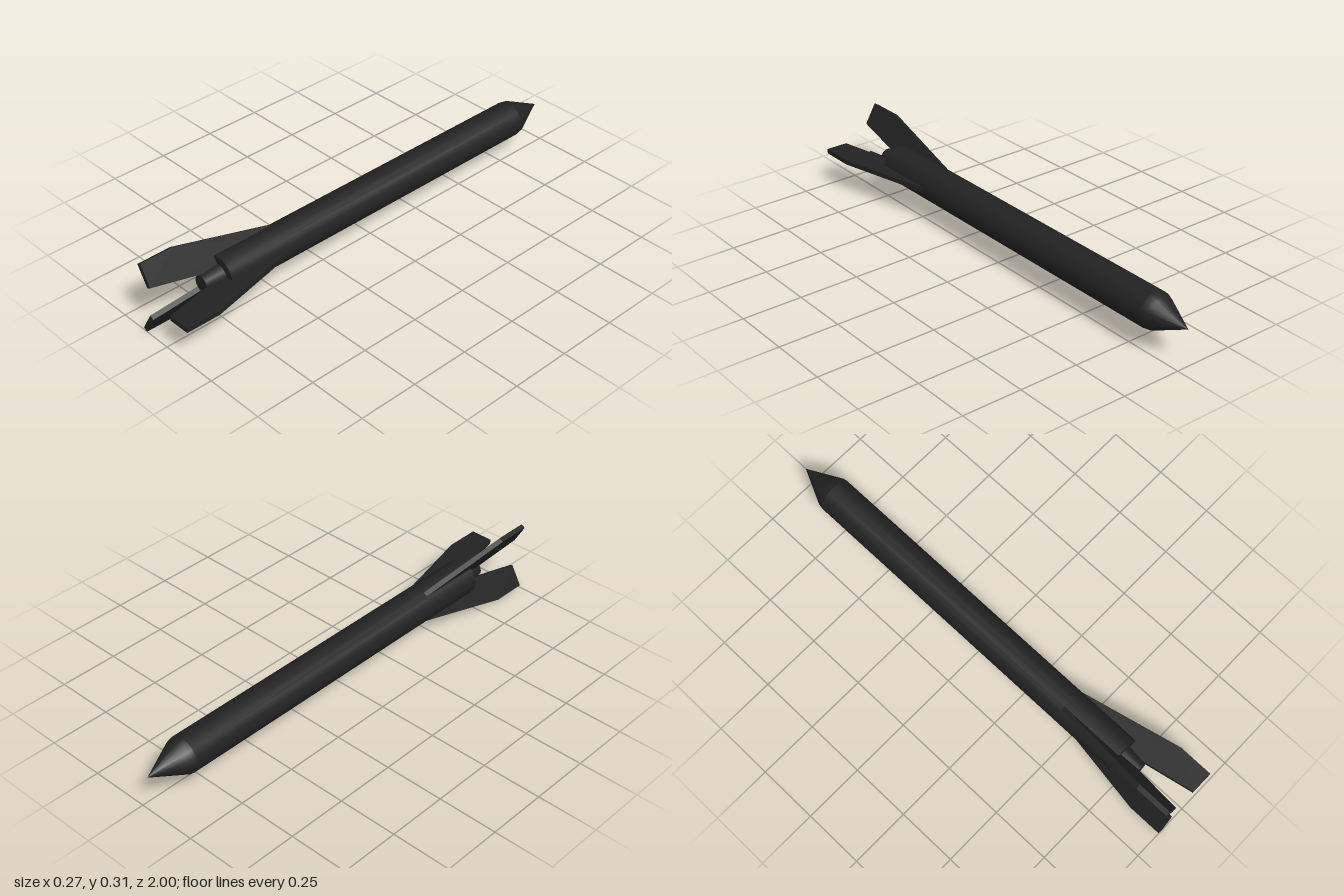
import * as THREE from 'three';

export function createModel() {
  const group = new THREE.Group();
  group.name = 'rocket';
  const charcoal = new THREE.MeshStandardMaterial({ color: 0x222222 });
  charcoal.name = 'charcoal';

  // Everything is built around the z axis; the nose points to -z
  const rocket = new THREE.Group();
  rocket.name = 'airframe';
  rocket.position.set(-0.04, 0.154, 0);
  group.add(rocket);

  const add = (name, geometry) => {
    const mesh = new THREE.Mesh(geometry, charcoal);
    mesh.name = name;
    rocket.add(mesh);
    return mesh;
  };

  // Turned part from [radius, z] pairs running from nose to tail
  const turned = (name, profile) =>
    add(name, new THREE.LatheGeometry(profile.map(([r, z]) => new THREE.Vector2(r, z)), 16).rotateX(Math.PI / 2));

  turned('noseCone', [[0, -1], [0.064, -0.865], [0.072, -0.848], [0.075, -0.83]]);
  turned('bodyTube', [[0.075, -0.83], [0.075, 0.715]]);
  turned('bodyEnd', [[0.075, 0.715], [0, 0.715]]);
  turned('nozzle', [[0.042, 0.715], [0.034, 0.8]]);
  turned('nozzleEnd', [[0.034, 0.8], [0, 0.8]]);

  // Swept fins: outline drawn as (radius, z), then laid into the radial plane
  const outline = new THREE.Shape([
    [0.03, 0.44], [0.075, 0.44], [0.172, 0.855], [0.172, 1], [0.077, 1], [0.034, 0.79], [0.03, 0.7],
  ].map(([r, z]) => new THREE.Vector2(r, z)));
  const finGeometry = new THREE.ExtrudeGeometry(outline, { depth: 0.02, bevelEnabled: false })
    .translate(0, 0, -0.01)
    .rotateX(Math.PI / 2);
  for (let i = 0; i < 3; i++) {
    add('fin' + (i + 1), finGeometry).rotation.z = (i * 2 * Math.PI) / 3;
  }
  return group;
}
